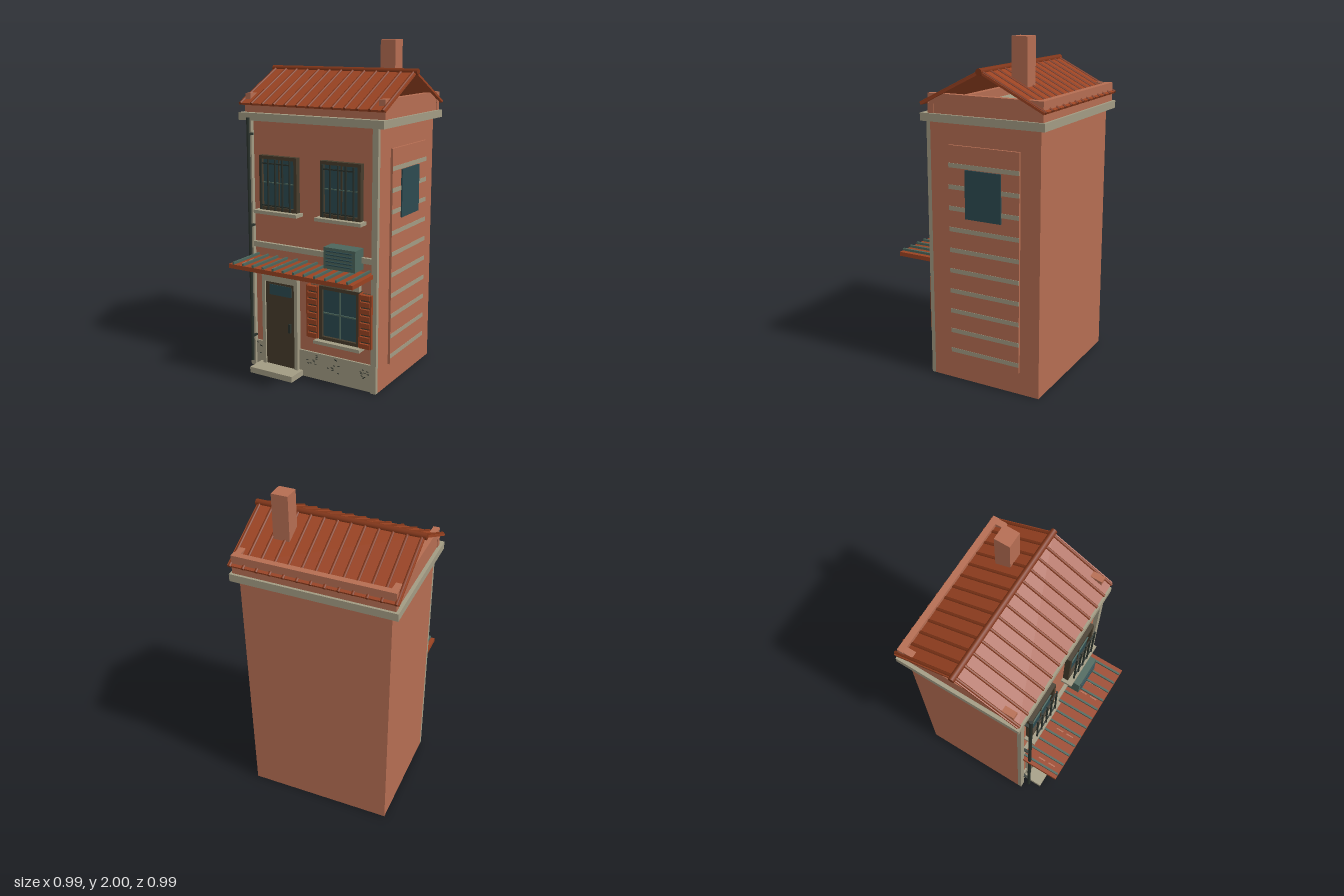
import * as THREE from 'three';

const mat = (name, color) => {
  const m = new THREE.MeshStandardMaterial({ color });
  m.name = name;
  return m;
};

export function createModel() {
  const wall = mat('terracotta plaster', 0xb56d52);
  const stone = mat('pale stone', 0xa29b83);
  const tile = mat('roof tile', 0x9a4322);
  const tileDark = mat('dark tile', 0x803518);
  const wood = mat('dark wood', 0x463c2c);
  const glass = mat('window glass', 0x2c4a50);
  const teal = mat('teal metal', 0x4c665c);
  const iron = mat('dark iron', 0x29312b);

  const house = new THREE.Group();
  house.name = 'townhouse';

  // box from its limits on each axis
  const box = (name, m, x0, x1, y0, y1, z0, z1, parent = house) => {
    const mesh = new THREE.Mesh(new THREE.BoxGeometry(x1 - x0, y1 - y0, z1 - z0), m);
    mesh.position.set((x0 + x1) / 2, (y0 + y1) / 2, (z0 + z1) / 2);
    mesh.name = name;
    parent.add(mesh);
    return mesh;
  };
  const rod = (name, m, r, length, sides, parent = house) => {
    const mesh = new THREE.Mesh(new THREE.CylinderGeometry(r, r, length, sides), m);
    mesh.name = name;
    parent.add(mesh);
    return mesh;
  };
  const group = (name, parent = house) => {
    const g = new THREE.Group();
    g.name = name;
    parent.add(g);
    return g;
  };

  // walls, corner strips, plinth, floor band and cornice
  box('walls', wall, -0.44, 0.44, 0, 1.54, -0.45, 0.24);
  for (const s of [-1, 1]) box('cornerStrip', stone, s * 0.4225 - 0.0175, s * 0.4225 + 0.0175, 0, 1.54, 0.24, 0.265);
  box('plinth', stone, -0.405, 0.405, 0, 0.165, 0.24, 0.252);
  box('floorBand', stone, -0.405, 0.405, 0.77, 0.803, 0.24, 0.262);
  box('cornice', stone, -0.485, 0.48, 1.535, 1.58, -0.49, 0.28);

  // chips in the plinth
  let seed = 7;
  const rand = () => (seed = (seed * 16807) % 2147483647) / 2147483647;
  for (const cx of [-0.36, 0, 0.15, 0.35]) {
    for (let i = 0; i < 9; i++) {
      const x = cx + (rand() - 0.5) * 0.08, y = 0.06 + rand() * 0.095;
      box('plinthChip', iron, x - 0.007, x + 0.007, y, y + 0.004, 0.252, 0.2535);
    }
  }

  // parapet
  box('parapetBack', wall, -0.467, 0.467, 1.58, 1.69, -0.475, -0.438);
  box('parapetFront', wall, -0.467, 0.467, 1.58, 1.635, 0.2, 0.237);
  for (const s of [-1, 1]) box('parapetSide', wall, s * 0.445 - 0.0185, s * 0.445 + 0.0185, 1.58, 1.69, -0.4745, 0.2365);

  // open gable roof: two ribbed slopes and a ridge
  const roof = group('roof');
  roof.position.set(0, 1.822, -0.107);
  for (const turn of [0, Math.PI]) {
    const side = group('roofSide', roof);
    side.rotation.y = turn;
    const slope = group('slope', side);
    slope.rotation.x = Math.atan(0.5);
    box('roofSlab', tile, -0.485, 0.485, -0.009, 0.004, 0, 0.426, slope);
    for (let i = 0; i < 13; i++) {
      const rib = rod('tileRib', tileDark, 0.009, 0.43, 8, slope);
      rib.rotation.x = Math.PI / 2;
      rib.position.set(-0.47 + i * 0.0783, 0.003, 0.215);
    }
  }
  const ridge = rod('ridge', tileDark, 0.019, 0.99, 10, roof);
  ridge.rotation.z = Math.PI / 2;

  box('chimney', wall, 0.205, 0.302, 1.7, 2, -0.295, -0.2);

  // awning
  const awning = group('awning');
  box('awningSlab', tile, -0.415, 0.415, 0.69, 0.715, 0.24, 0.497, awning);
  for (let i = 0; i < 12; i++) {
    const x = -0.385 + i * 0.0695;
    box('awningRib', teal, x - 0.006, x + 0.006, 0.715, 0.729, 0.24, 0.495, awning);
  }
  for (const x of [-0.352, -0.135, 0.155, 0.235])
    for (const z of [0.34, 0.41]) box('wornPatch', wall, x - 0.004, x + 0.004, 0.715, 0.717, z, z + 0.045, awning);

  // air conditioner
  box('airConditioner', teal, 0.133, 0.34, 0.73, 0.855, 0.24, 0.334);
  for (let i = 0; i < 5; i++) box('louvre', glass, 0.152, 0.322, 0.752 + i * 0.02, 0.758 + i * 0.02, 0.33, 0.342);

  // door with surround and step
  const door = group('door');
  box('doorStep', stone, -0.37, -0.065, 0, 0.036, 0.24, 0.375, door);
  for (const x of [-0.342, -0.11]) box('doorJamb', stone, x, x + 0.022, 0.036, 0.61, 0.24, 0.275, door);
  box('doorLintel', stone, -0.32, -0.11, 0.568, 0.61, 0.24, 0.275, door);
  box('doorLeaf', wood, -0.32, -0.11, 0.036, 0.568, 0.24, 0.264, door);
  box('doorPane', glass, -0.292, -0.135, 0.485, 0.55, 0.262, 0.267, door);
  box('doorHandle', iron, -0.15, -0.136, 0.265, 0.32, 0.262, 0.28, door);

  // window frame around a pane
  const framed = (name, x0, x1, y0, y1, t) => {
    const g = group(name);
    for (const x of [x0, x1 - t]) box('frameSide', wood, x, x + t, y0, y1, 0.24, 0.275, g);
    for (const y of [y0, y1 - t]) box('frameRail', wood, x0 + t, x1 - t, y, y + t, 0.24, 0.275, g);
    box('pane', glass, x0 + t, x1 - t, y0 + t, y1 - t, 0.24, 0.257, g);
    box('sill', stone, x0 - 0.02, x1 + 0.02, y0 - 0.02, y0, 0.24, 0.31, g);
    return g;
  };

  // barred upper windows
  for (const cx of [-0.215, 0.2075]) {
    const g = framed('upperWindow', cx - 0.131, cx + 0.131, 1.01, 1.335, 0.02);
    for (let i = 0; i < 5; i++) {
      const bar = rod('windowBar', iron, 0.006, 0.3, 8, g);
      bar.position.set(cx - 0.1 + i * 0.05, 1.17, 0.299);
    }
    for (const y of [1.04, 1.29]) box('barRail', iron, cx - 0.105, cx + 0.105, y, y + 0.008, 0.293, 0.301, g);
    box('crossBar', teal, cx - 0.11, cx + 0.11, 1.172, 1.178, 0.256, 0.264, g);
    box('centreBar', wood, cx - 0.004, cx + 0.004, 1.03, 1.315, 0.256, 0.262, g);
  }

  // shuttered ground window
  const low = framed('groundWindow', 0.067, 0.335, 0.27, 0.6, 0.02);
  box('muntinUpright', teal, 0.197, 0.205, 0.29, 0.58, 0.256, 0.265, low);
  box('muntinRail', teal, 0.087, 0.315, 0.43, 0.438, 0.256, 0.265, low);
  for (const x of [-0.017, 0.335]) {
    const g = group('shutter', low);
    box('shutterBack', wood, x + 0.002, x + 0.08, 0.28, 0.59, 0.24, 0.274, g);
    for (const dx of [0, 0.072]) box('shutterStile', tile, x + dx, x + dx + 0.01, 0.275, 0.595, 0.24, 0.284, g);
    for (let i = 0; i < 8; i++) {
      const y = 0.275 + i * 0.0415;
      box('shutterSlat', tile, x + 0.01, x + 0.072, y, y + 0.028, 0.262, 0.29, g);
    }
  }
  box('meterBox', stone, 0.25, 0.33, 0.6, 0.645, 0.24, 0.27);

  // drainpipe
  rod('drainpipe', iron, 0.01, 1.505, 10).position.set(-0.4, 0.8025, 0.303);
  for (const y of [0.2, 0.9, 1.45]) box('pipeClip', iron, -0.408, -0.392, y, y + 0.012, 0.26, 0.303);

  // side panel with stone courses and a window
  const panel = group('sidePanel');
  box('panelSlab', wall, 0.43, 0.454, 0.135, 1.41, -0.33, 0.115, panel);
  for (let i = 0; i < 10; i++) {
    const y = 0.185 + i * 0.1235;
    box('stoneCourse', stone, 0.45, 0.456, y - 0.013, y + 0.013, -0.33, 0.115, panel);
  }
  box('sideWindow', glass, 0.45, 0.463, 1, 1.28, -0.22, 0.006, panel);

  return house;
}
